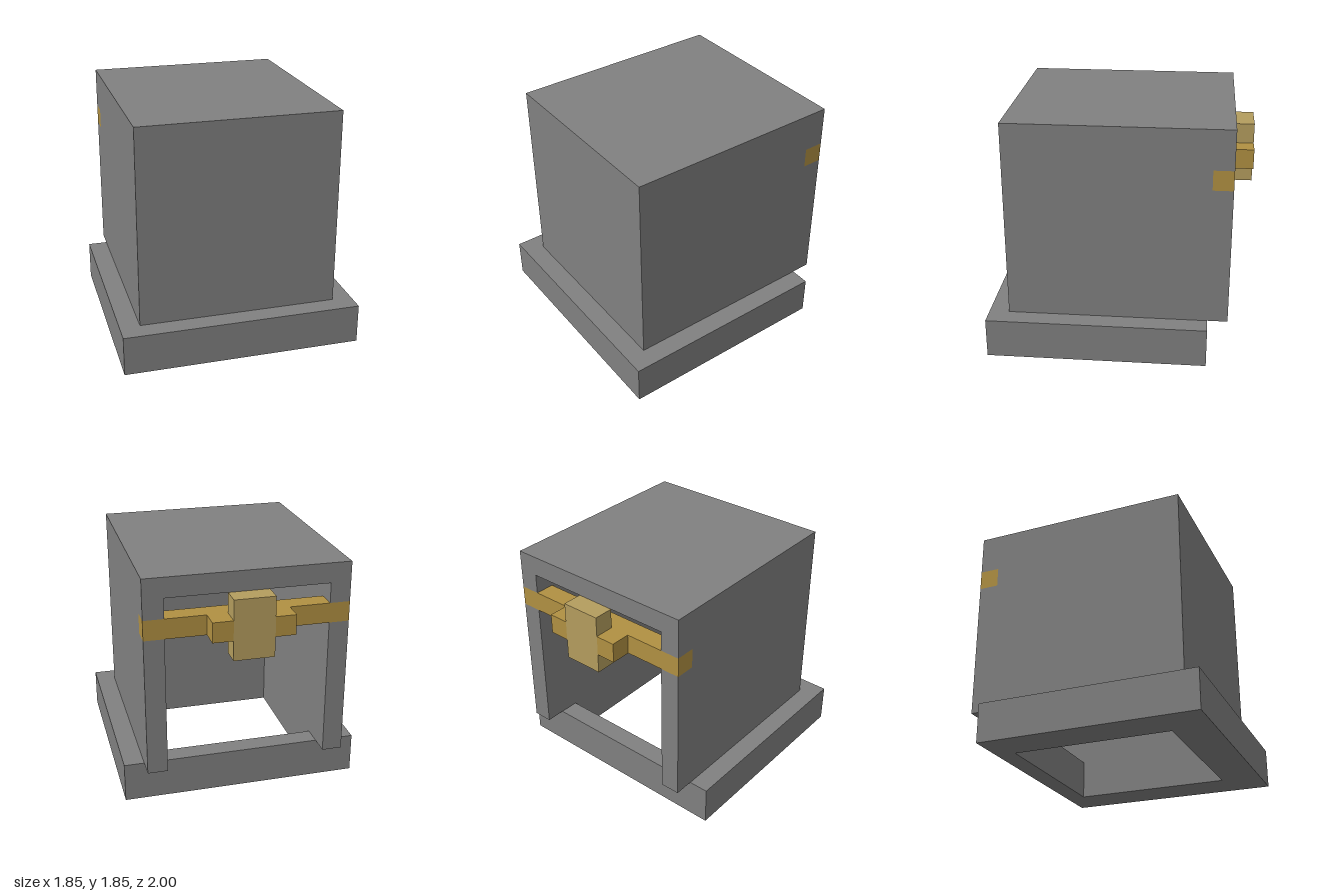
import * as THREE from 'three';

const U = 2 / 13; // one block of the model's grid

export function createModel() {
  const steel = new THREE.MeshStandardMaterial({ color: 0x808080 });
  steel.name = 'steel grey';
  const gold = new THREE.MeshStandardMaterial({ color: 0xb09042 });
  gold.name = 'strap gold';
  const paleGold = new THREE.MeshStandardMaterial({ color: 0xb49d5e });
  paleGold.name = 'pale gold';

  const model = new THREE.Group();
  model.name = 'helmet';

  // Box between two corners, given in grid blocks
  const box = (name, material, [x0, y0, z0], [x1, y1, z1]) => {
    const geometry = new THREE.BoxGeometry((x1 - x0) * U, (y1 - y0) * U, (z1 - z0) * U);
    const mesh = new THREE.Mesh(geometry, material);
    mesh.position.set((x0 + x1) / 2 * U, (y0 + y1) / 2 * U, (z0 + z1) / 2 * U);
    mesh.name = name;
    model.add(mesh);
  };

  // Brim: a rectangular ring, open in the middle
  const rect = (path, x0, y0, x1, y1) =>
    path.moveTo(x0 * U, y0 * U).lineTo(x1 * U, y0 * U).lineTo(x1 * U, y1 * U).lineTo(x0 * U, y1 * U).closePath();
  const ring = rect(new THREE.Shape(), -6, -6.5, 6, 4.5);
  ring.holes.push(rect(new THREE.Path(), -4, -4.5, 4, 3.5));
  const brimGeometry = new THREE.ExtrudeGeometry(ring, { depth: 2 * U, bevelEnabled: false });
  brimGeometry.rotateX(-Math.PI / 2);
  const brim = new THREE.Mesh(brimGeometry, steel);
  brim.name = 'brim';
  model.add(brim);

  // Hollow crown: top, front and side walls
  box('crownTop', steel, [-5, 11, -5.5], [5, 12, 5.5]);
  box('frontWall', steel, [-5, 2, 4.5], [5, 11, 5.5]);
  for (const [side, x] of [['left', 4], ['right', -5]]) {
    box(side + 'Wall', steel, [x, 2, -4.5], [x + 1, 11, 4.5]);
    // Back posts, interrupted by the strap
    box(side + 'LowerPost', steel, [x, 2, -5.5], [x + 1, 9, -4.5]);
    box(side + 'UpperPost', steel, [x, 10, -5.5], [x + 1, 11, -4.5]);
  }

  // Strap across the back opening, with its buckle
  box('strap', gold, [-5, 9, -5.5], [5, 10, -4.5]);
  for (const [side, x] of [['left', 1], ['right', -2]]) {
    box(side + 'BuckleBar', gold, [x, 9, -6.5], [x + 1, 10, -5.5]);
  }
  box('buckle', paleGold, [-1, 8, -6.5], [1, 11, -5.5]);

  return model;
}
